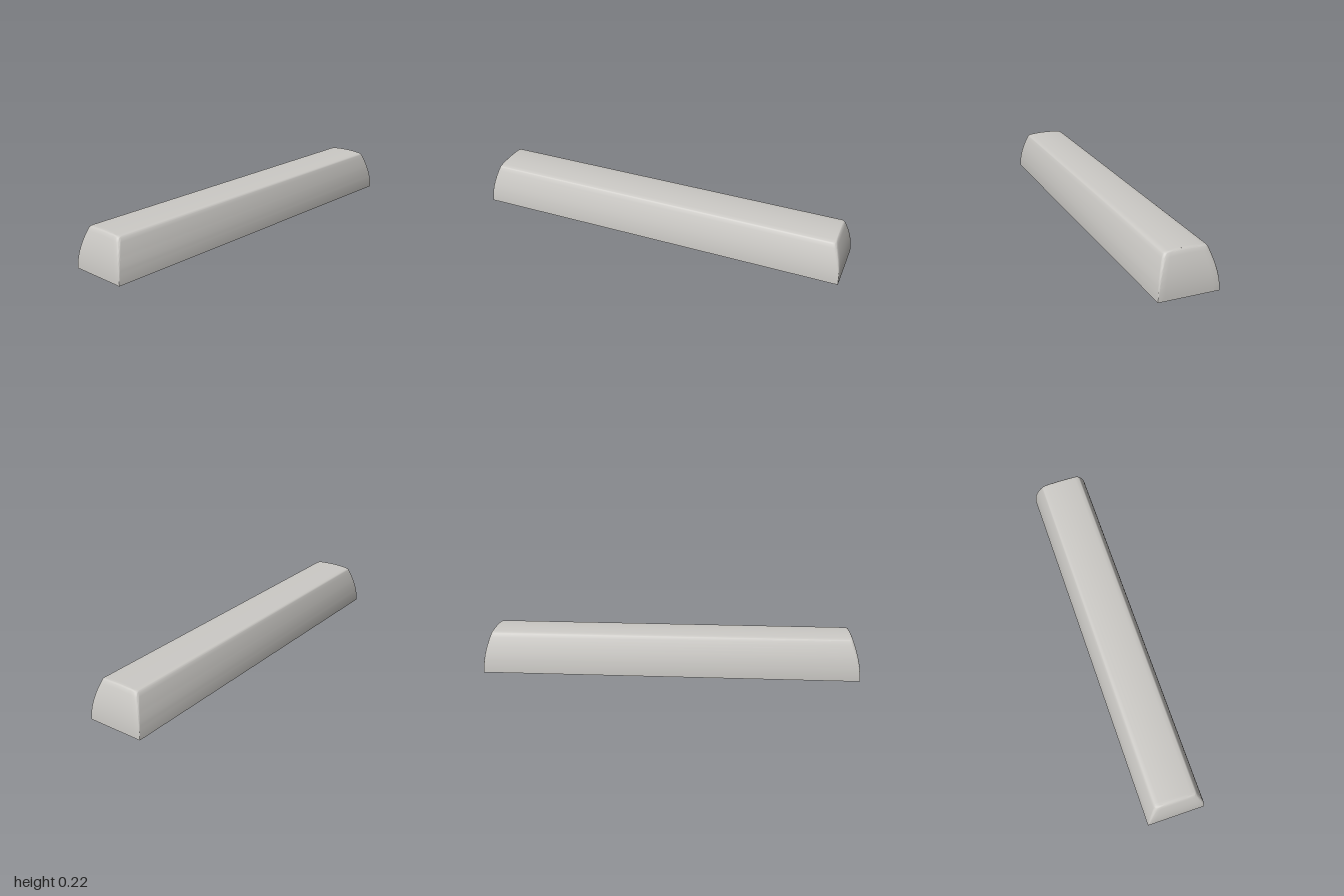
import * as THREE from 'three';
import { toCreasedNormals } from 'three/addons/utils/BufferGeometryUtils.js';

const plastic = new THREE.MeshStandardMaterial({ color: 0xcccac6 });
plastic.name = 'warm grey plastic';

const HALF_X = 1, HALF_Z = 0.154, WALL = 0.021;
const ROOF = 0.15;
const outerTop = z => 0.219 - 0.6 * z * z;
const innerTop = z => ROOF - 0.4 * z * z;

// Rounded rectangle outline, counter-clockwise from above, with subdivided ends
function outline(hx, hz, r) {
  const pts = [];
  const arc = (cx, cz, start) => {
    for (let i = 0; i <= 4; i++) {
      const a = start + (i / 4) * Math.PI / 2;
      pts.push([cx + r * Math.cos(a), cz - r * Math.sin(a)]);
    }
  };
  const end = (x, from, to) => {
    for (let i = 1; i < 10; i++) pts.push([x, from + (to - from) * i / 10]);
  };
  const x = hx - r, z = hz - r;
  end(hx, z, -z);
  arc(x, -z, 0);
  arc(-x, -z, Math.PI / 2);
  end(-hx, -z, z);
  arc(-x, z, Math.PI);
  arc(x, z, Math.PI * 1.5);
  return pts;
}

// One level of the curved wall: inset from the base, height as a share of the top
const wallRing = (inset, t, top, r) =>
  outline(HALF_X - inset, HALF_Z - inset, r).map(([x, z]) => [x, t * top(z), z]);

// Rings closing an arched surface towards its centre line
const capRings = (ring, top) => [0.8, 0.6, 0.4, 0.2, 0].map(k =>
  ring.map(([x, , z]) => [x, top(z * k), z * k]));

function shellGeometry() {
  // Inner cavity, from the rim up to the roof
  const inner = [];
  for (let i = 0; i <= 8; i++) {
    const t = i / 8;
    inner.push(wallRing(WALL + 0.022 * t * t, t, innerTop, 0.004 + 0.008 * t));
  }
  inner.push(...capRings(inner[8], innerTop));

  // Outer wall bulging inwards to a softened top edge
  const outer = [];
  for (let i = 0; i <= 12; i++) {
    const t = 0.97 * i / 12;
    outer.push(wallRing(0.045 * t * t, t, outerTop, 0.002 + 0.015 * t));
  }
  outer.push(wallRing(0.0455, 0.989, outerTop, 0.017));
  outer.push(wallRing(0.05, 1, outerTop, 0.017));
  outer.push(...capRings(outer[outer.length - 1], outerTop));

  // Continuous loft: roof, cavity, rim, outer wall, top
  const rings = [...inner.reverse(), ...outer];
  const n = rings[0].length, index = [];
  for (let j = 0; j < rings.length - 1; j++) {
    for (let i = 0; i < n; i++) {
      const a = j * n + i, b = j * n + (i + 1) % n;
      index.push(a, b, b + n, a, b + n, a + n);
    }
  }
  const geo = new THREE.BufferGeometry();
  geo.setAttribute('position', new THREE.Float32BufferAttribute(rings.flat(2), 3));
  geo.setIndex(index);
  return toCreasedNormals(geo, 0.55);
}

// Round post with a cross-shaped socket in its lower end
const STEM_R = 0.047, SOCKET = 0.075, STEM_BASE = 0.003;
function socketGeometry() {
  const shape = new THREE.Shape().absarc(0, 0, STEM_R, 0, Math.PI * 2, false);
  const L = 0.035, w = 0.011, cross = [];
  for (let q = 0; q < 4; q++) {
    const c = Math.cos(q * Math.PI / 2), s = Math.sin(q * Math.PI / 2);
    for (const [x, y] of [[L, -w], [L, w], [w, w]])
      cross.push(new THREE.Vector2(x * c - y * s, x * s + y * c));
  }
  shape.holes.push(new THREE.Path(cross.reverse()));
  const geo = new THREE.ExtrudeGeometry(shape, { depth: SOCKET, bevelEnabled: false, curveSegments: 16 });
  geo.rotateX(-Math.PI / 2);
  return toCreasedNormals(geo, 0.55);
}

export function createModel() {
  const model = new THREE.Group();
  model.name = 'longKeycap';
  const add = (parent, geo, name, y) => {
    const mesh = new THREE.Mesh(geo, plastic);
    mesh.name = name;
    mesh.position.y = y;
    parent.add(mesh);
  };
  add(model, shellGeometry(), 'shell', 0);

  // Mounting stems under the roof
  const socket = socketGeometry();
  const height = ROOF + 0.01 - STEM_BASE - SOCKET;
  const post = new THREE.CylinderGeometry(STEM_R, STEM_R, height, 32);
  for (const x of [-0.845, -0.677, 0, 0.2, 0.677, 0.845]) {
    const stem = new THREE.Group();
    stem.name = 'stem';
    stem.position.x = x;
    add(stem, socket, 'stemSocket', STEM_BASE);
    add(stem, post, 'stemPost', STEM_BASE + SOCKET + height / 2);
    model.add(stem);
  }
  return model;
}
